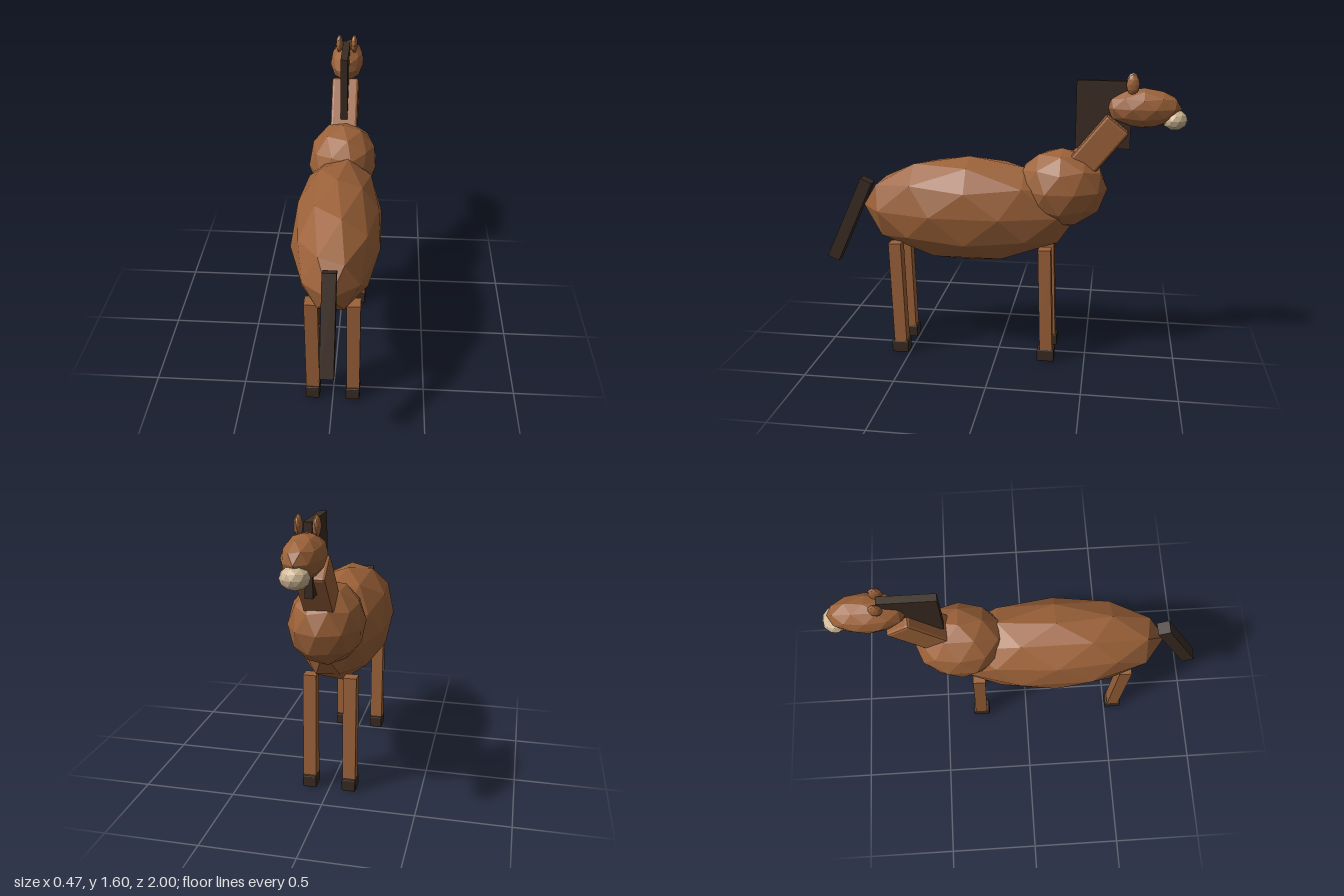
import * as THREE from 'three';
import { RoundedBoxGeometry } from 'three/addons/geometries/RoundedBoxGeometry.js';

function flat(name, color) {
  const m = new THREE.MeshStandardMaterial({ color, flatShading: true });
  m.name = name;
  return m;
}

export function createModel() {
  const coat = flat('brown coat', 0x9c6239);
  const dark = flat('dark hair and hoof', 0x3a2c22);
  const cream = flat('cream muzzle', 0xcdb593);

  const model = new THREE.Group();
  model.name = 'horse';

  function add(name, geometry, material, pos, tilt = 0) {
    const mesh = new THREE.Mesh(geometry, material);
    mesh.name = name;
    mesh.position.set(...pos);
    mesh.rotation.x = tilt;
    model.add(mesh);
    return mesh;
  }

  // Faceted ellipsoid with a vertex at its top pole
  function ellipsoid(rx, ry, rz) {
    const g = new THREE.IcosahedronGeometry(1, 1);
    g.rotateZ(-Math.atan(2 / (1 + Math.sqrt(5))));
    return g.scale(rx, ry, rz);
  }

  // Body, chest and head
  add('body', ellipsoid(0.247, 0.3, 0.615), coat, [0, 0.84, 0.163]);
  add('chest', ellipsoid(0.2, 0.22, 0.25), coat, [0, 0.98, -0.345]);
  add('neck', new RoundedBoxGeometry(0.155, 0.42, 0.155, 1, 0.015), coat,
    [0, 1.182, -0.508], -0.68);
  add('head', ellipsoid(0.1, 0.105, 0.197), coat, [0, 1.425, -0.768]);
  add('muzzle', ellipsoid(0.07, 0.056, 0.066), cream, [0, 1.366, -0.932]);

  // Mane and tail
  add('mane', new THREE.BoxGeometry(0.04, 0.36, 0.29), dark, [0, 1.386, -0.56]);
  add('tail', new THREE.BoxGeometry(0.07, 0.515, 0.07), dark, [0, 0.751, 0.861], -0.431);

  // Ears, legs and hooves on both sides
  for (const [side, s] of [['left', 1], ['right', -1]]) {
    add(side + 'Ear', ellipsoid(0.02, 0.054, 0.035), coat, [s * 0.043, 1.55, -0.707]);
    for (const [end, z] of [['back', 0.56], ['front', -0.278]]) {
      add(`${side}_${end}_leg`, new THREE.BoxGeometry(0.072, 0.61, 0.07), coat,
        [s * 0.11, 0.353, z], 0.03);
      add(`${side}_${end}_hoof`, new RoundedBoxGeometry(0.077, 0.072, 0.098, 1, 0.008), dark,
        [s * 0.11, 0.036, z - 0.006]);
    }
  }
  return model;
}
